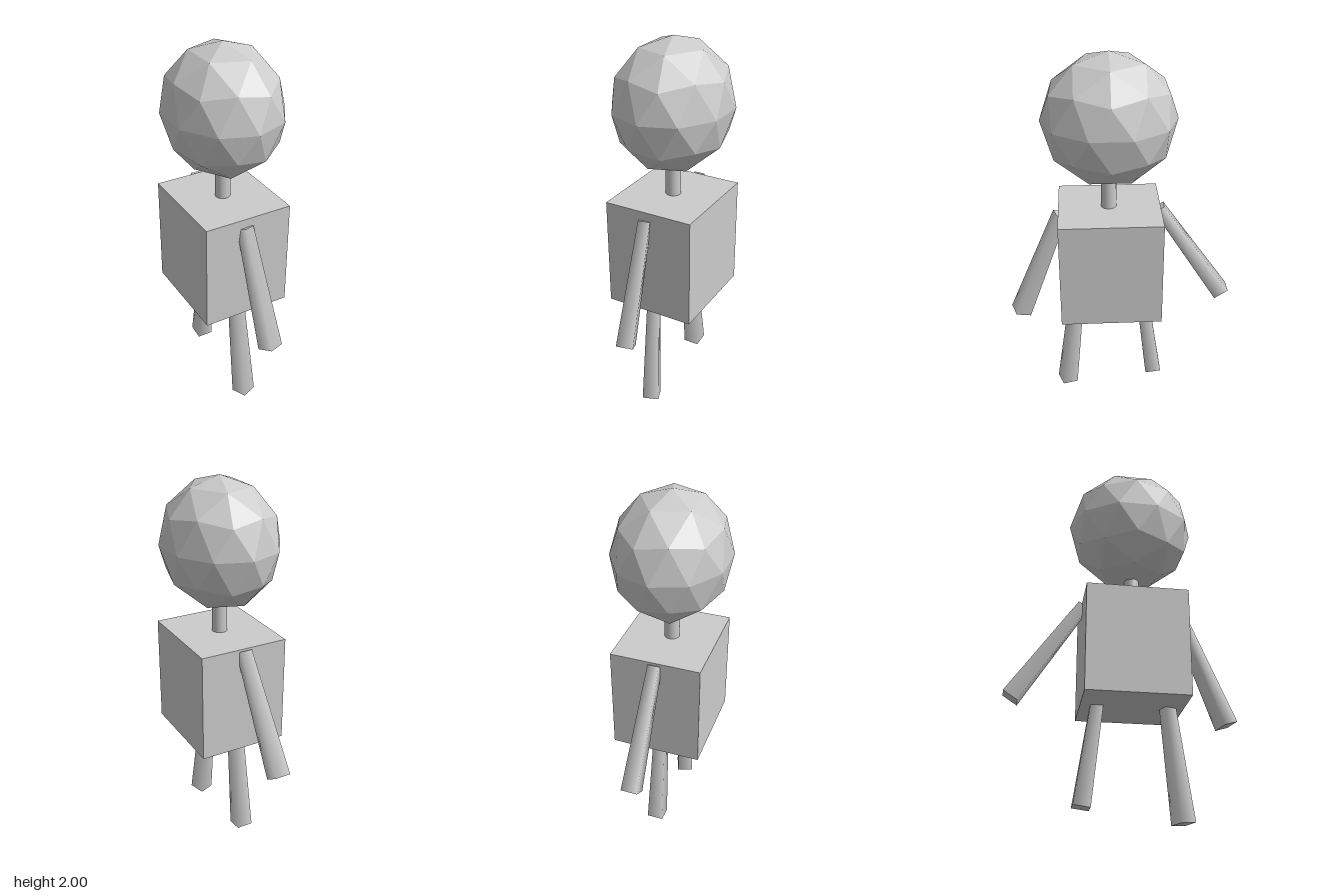
import * as THREE from 'three';

const material = new THREE.MeshStandardMaterial({ color: 0xcccccc });
const facetedMaterial = new THREE.MeshStandardMaterial({ color: 0xcccccc, flatShading: true });

function addMesh(group, name, geometry, mat = material) {
  const mesh = new THREE.Mesh(geometry, mat);
  mesh.name = name;
  group.add(mesh);
  return mesh;
}

// Square, softly shaded limb that widens from its top point to its bottom point
function addLimb(group, name, top, bottom, twist = 0) {
  const a = new THREE.Vector3(...top);
  const b = new THREE.Vector3(...bottom);
  const up = a.clone().sub(b);
  const geometry = new THREE.CylinderGeometry(0.06 * Math.SQRT1_2, 0.088 * Math.SQRT1_2, up.length(), 4);
  geometry.rotateY(Math.PI / 4 + twist);
  const limb = addMesh(group, name, geometry);
  limb.quaternion.setFromUnitVectors(new THREE.Vector3(0, 1, 0), up.normalize());
  limb.position.copy(a).add(b).multiplyScalar(0.5);
}

export function createModel() {
  const model = new THREE.Group();
  model.name = 'figure';

  // Faceted head, standing on one of its vertices
  const headGeometry = new THREE.IcosahedronGeometry(1, 1);
  headGeometry.rotateZ(Math.atan(2 / (1 + Math.sqrt(5))));
  headGeometry.rotateY(Math.PI);
  headGeometry.scale(0.305, 0.342, 0.345);
  headGeometry.computeVertexNormals();
  addMesh(model, 'head', headGeometry, facetedMaterial).position.set(0, 1.658, 0.055);

  // Neck
  addMesh(model, 'neck', new THREE.CylinderGeometry(0.04, 0.04, 0.26, 32)).position.set(0, 1.25, 0.06);

  // Torso
  addMesh(model, 'torso', new THREE.BoxGeometry(0.483, 0.587, 0.536), facetedMaterial).position.set(0, 0.883, 0.057);

  // Arms and legs; the front pair is twisted about its length
  const twist = 0.37;
  addLimb(model, 'frontArm', [-0.018, 1.125, 0.317], [0.002, 0.52, 0.558], twist);
  addLimb(model, 'backArm', [0, 1.158, -0.205], [0, 0.615, -0.565]);
  addLimb(model, 'frontLeg', [-0.02, 0.65, 0.237], [-0.002, 0.008, 0.312], twist);
  addLimb(model, 'backLeg', [0, 0.72, -0.108], [0, 0.072, -0.193]);

  return model;
}
